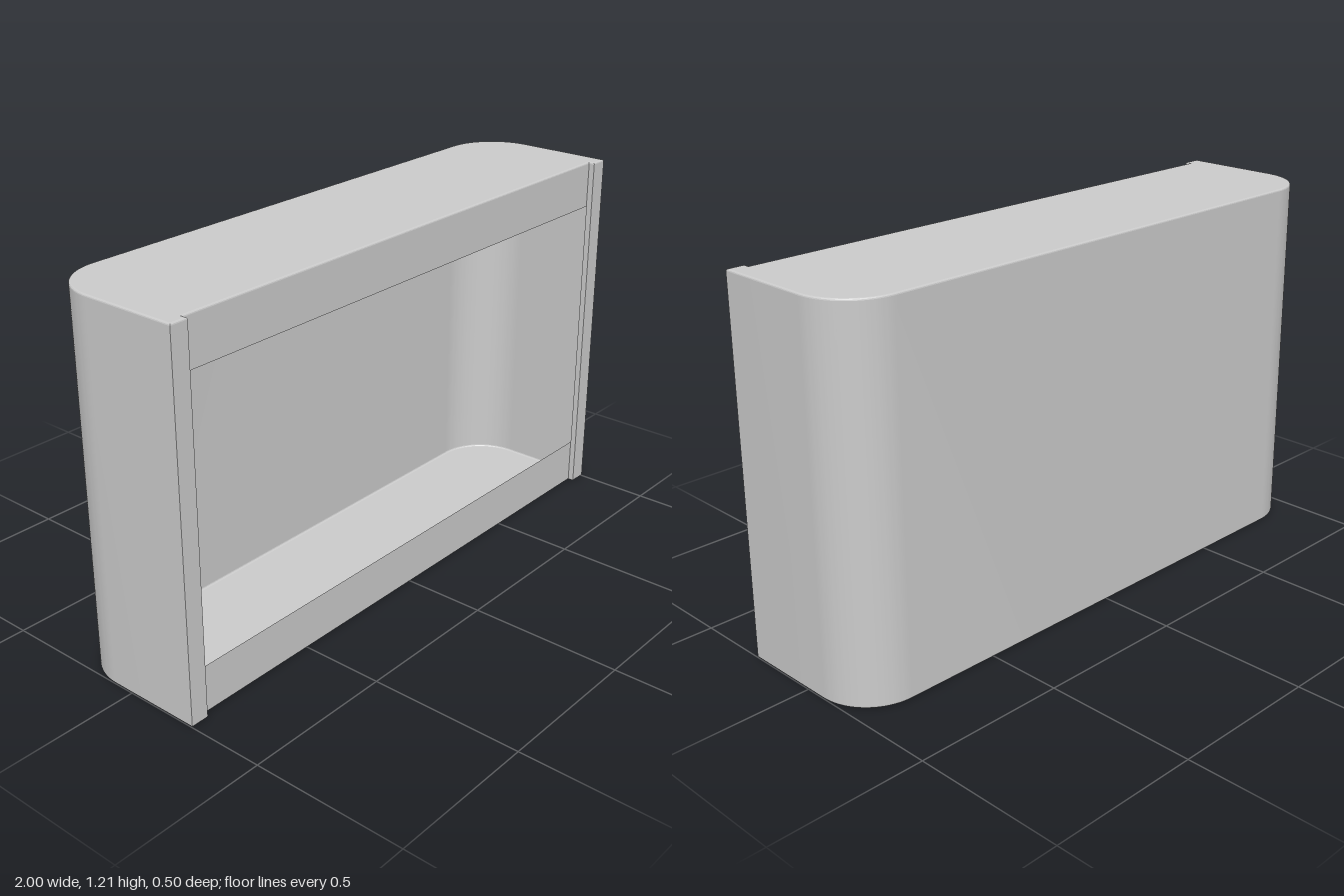
import * as THREE from 'three';
import { toCreasedNormals } from 'three/addons/utils/BufferGeometryUtils.js';

const HEIGHT = 1.205, FRONT = 0.25, BACK = -0.25, RECESS = 0.23;
const INNER = 0.94, RADIUS = 0.18, BEVEL = 0.006, RAIL_TOP = 0.155;

// Plan outline (x, z): rounded back corners, front recessed between two posts.
function planShape() {
  const cx = 1 - RADIUS, cz = BACK + RADIUS;
  const s = new THREE.Shape();
  s.moveTo(-1, FRONT);
  s.lineTo(-1, cz);
  s.absarc(-cx, cz, RADIUS, Math.PI, Math.PI * 1.5, false);
  s.absarc(cx, cz, RADIUS, -Math.PI / 2, 0, false);
  s.lineTo(1, FRONT);
  s.lineTo(INNER, FRONT);
  s.lineTo(INNER, RECESS);
  s.lineTo(-INNER, RECESS);
  s.lineTo(-INNER, FRONT);
  s.closePath();
  return s;
}

// Thin hollow shell: the extruded plan with its recessed front face left open.
function shellGeometry() {
  const solid = new THREE.ExtrudeGeometry(planShape(), {
    depth: HEIGHT - 2 * BEVEL,
    curveSegments: 18,
    bevelSize: BEVEL,
    bevelThickness: BEVEL,
    bevelOffset: -BEVEL,
    bevelSegments: 3,
  });
  solid.rotateX(Math.PI / 2);
  solid.translate(0, HEIGHT - BEVEL, 0);

  const p = solid.attributes.position;
  const kept = [];
  for (let i = 0; i < p.count; i += 3) {
    const corners = [i, i + 1, i + 2];
    if (corners.every((c) => Math.abs(p.getZ(c) - RECESS) < 1e-4)) continue;
    for (const c of corners) kept.push(p.getX(c), p.getY(c), p.getZ(c));
  }
  const shell = new THREE.BufferGeometry();
  shell.setAttribute('position', new THREE.Float32BufferAttribute(kept, 3));
  return toCreasedNormals(shell, 0.2);
}

export function createModel() {
  const group = new THREE.Group();
  const material = new THREE.MeshStandardMaterial({ color: 0xcccccc, side: THREE.DoubleSide });
  const add = (name, geometry) => {
    const mesh = new THREE.Mesh(geometry, material);
    mesh.name = name;
    group.add(mesh);
    return mesh;
  };

  // Back, sides, top, bottom and front posts
  add('shell', shellGeometry());

  // Thin front rails along the top and bottom of the opening
  const railHeight = RAIL_TOP - BEVEL;
  const railCentre = BEVEL + railHeight / 2;
  for (const [name, y] of [['bottomRail', railCentre], ['topRail', HEIGHT - railCentre]]) {
    add(name, new THREE.PlaneGeometry(2 * INNER, railHeight)).position.set(0, y, RECESS);
  }

  return group;
}
